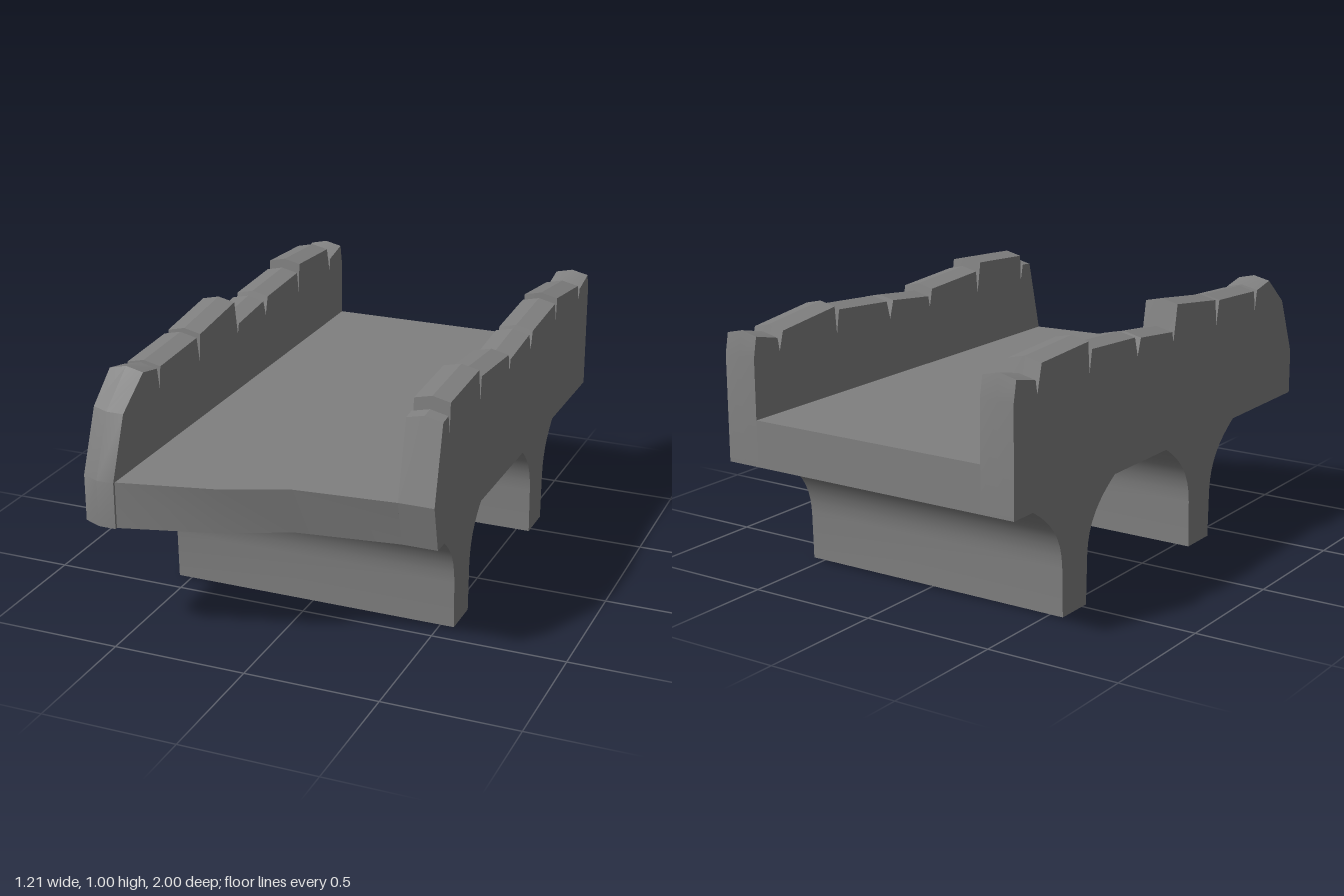
import * as THREE from 'three';
import { toCreasedNormals } from 'three/addons/utils/BufferGeometryUtils.js';

const stone = new THREE.MeshStandardMaterial({ color: 0x808080 });
stone.name = 'grey stone';

// Extrude a (z, y) side profile across the model, from x0 to x1
function acrossX(shape, x0, x1, steps, curveSegments = 8) {
  const geo = new THREE.ExtrudeGeometry(shape, { depth: x1 - x0, steps, bevelEnabled: false, curveSegments });
  return geo.rotateY(-Math.PI / 2).translate(x1, 0, 0);
}

// Apply a rule to every vertex
function bend(geo, rule) {
  const p = geo.attributes.position;
  const v = new THREE.Vector3();
  for (let i = 0; i < p.count; i++) {
    v.fromBufferAttribute(p, i);
    rule(v);
    p.setXYZ(i, v.x, v.y, v.z);
  }
  return geo;
}

function part(name, geo, crease = 0.45) {
  const mesh = new THREE.Mesh(toCreasedNormals(geo, crease), stone);
  mesh.name = name;
  return mesh;
}

const toShape = (pts) => new THREE.Shape(pts.map(([a, b]) => new THREE.Vector2(a, b)));

export function createModel() {
  const bridge = new THREE.Group();
  bridge.name = 'brokenBridge';

  // Parapet profiles (z, y), front to back, with notches between the stones
  const leftProfile = [
    [0.74, 0.46], [0.78, 0.63], [0.71, 0.91], [0.66, 0.915], [0.645, 0.85],
    [0.64, 0.955], [0.355, 0.972], [0.335, 0.85], [0.325, 0.94], [0.03, 0.92], [0.015, 0.85],
    [0.005, 0.895], [-0.215, 0.918], [-0.235, 0.85], [-0.255, 0.92], [-0.535, 0.94], [-0.55, 0.85],
    [-0.56, 0.955], [-0.845, 0.92], [-0.865, 0.85], [-0.875, 0.9], [-0.985, 0.925], [-1, 0.85], [-1, 0.46],
  ];
  const rightProfile = [
    [1, 0.46], [1, 0.63], [0.91, 0.85], [0.76, 0.95], [0.66, 0.93], [0.645, 0.85],
    [0.635, 0.93], [0.355, 0.945], [0.335, 0.85], [0.325, 0.95], [0.04, 0.985], [0.015, 0.85],
    [0.005, 0.89], [-0.215, 0.912], [-0.235, 0.85], [-0.255, 0.92], [-0.535, 0.935], [-0.55, 0.85],
    [-0.56, 0.965], [-0.84, 0.95], [-0.865, 0.85], [-0.875, 0.9], [-0.985, 0.925], [-1, 0.85], [-1, 0.46],
  ];
  for (const [name, profile, x0, x1] of [
    ['leftParapet', leftProfile, 0.475, 0.605],
    ['rightParapet', rightProfile, -0.605, -0.475],
  ]) {
    const geo = bend(acrossX(toShape(profile), x0, x1, 2), (v) => {
      const middle = Math.abs(Math.abs(v.x) - 0.54) < 0.01;
      // crowned tops, and a worn outer corner on the long end
      if (middle && v.y > 0.86) v.y += 0.015;
      if (v.x < -0.6 && v.z > 0.9) v.z -= 0.03;
    });
    bridge.add(part(name, geo));
  }

  // Deck with a broken front edge, cut back underneath
  const plan = [[-0.475, 1], [-0.475, -0.99], [-0.13, -0.91], [0.1, -0.815], [0.475, -0.78], [0.475, 1]];
  const deck = new THREE.ExtrudeGeometry(toShape(plan), { depth: 0.17, bevelEnabled: false });
  deck.rotateX(-Math.PI / 2).translate(0, 0.46, 0);
  bend(deck, (v) => {
    if (v.y < 0.5 && v.z > 0) v.z -= 0.042 * (v.x + 0.475);
  });
  bridge.add(part('deck', deck));

  // Flared piers
  const pier = new THREE.Shape();
  pier.moveTo(-0.075, 0);
  pier.lineTo(0.075, 0);
  pier.lineTo(0.08, 0.18);
  pier.bezierCurveTo(0.085, 0.33, 0.2, 0.395, 0.315, 0.46);
  pier.lineTo(-0.315, 0.46);
  pier.bezierCurveTo(-0.2, 0.395, -0.085, 0.33, -0.08, 0.18);
  pier.closePath();
  for (const [name, z] of [['frontPier', 0.333], ['backPier', -0.55]]) {
    const mesh = part(name, acrossX(pier, -0.552, 0.552, 1, 10), 0.6);
    mesh.position.z = z;
    bridge.add(mesh);
  }
  return bridge;
}
